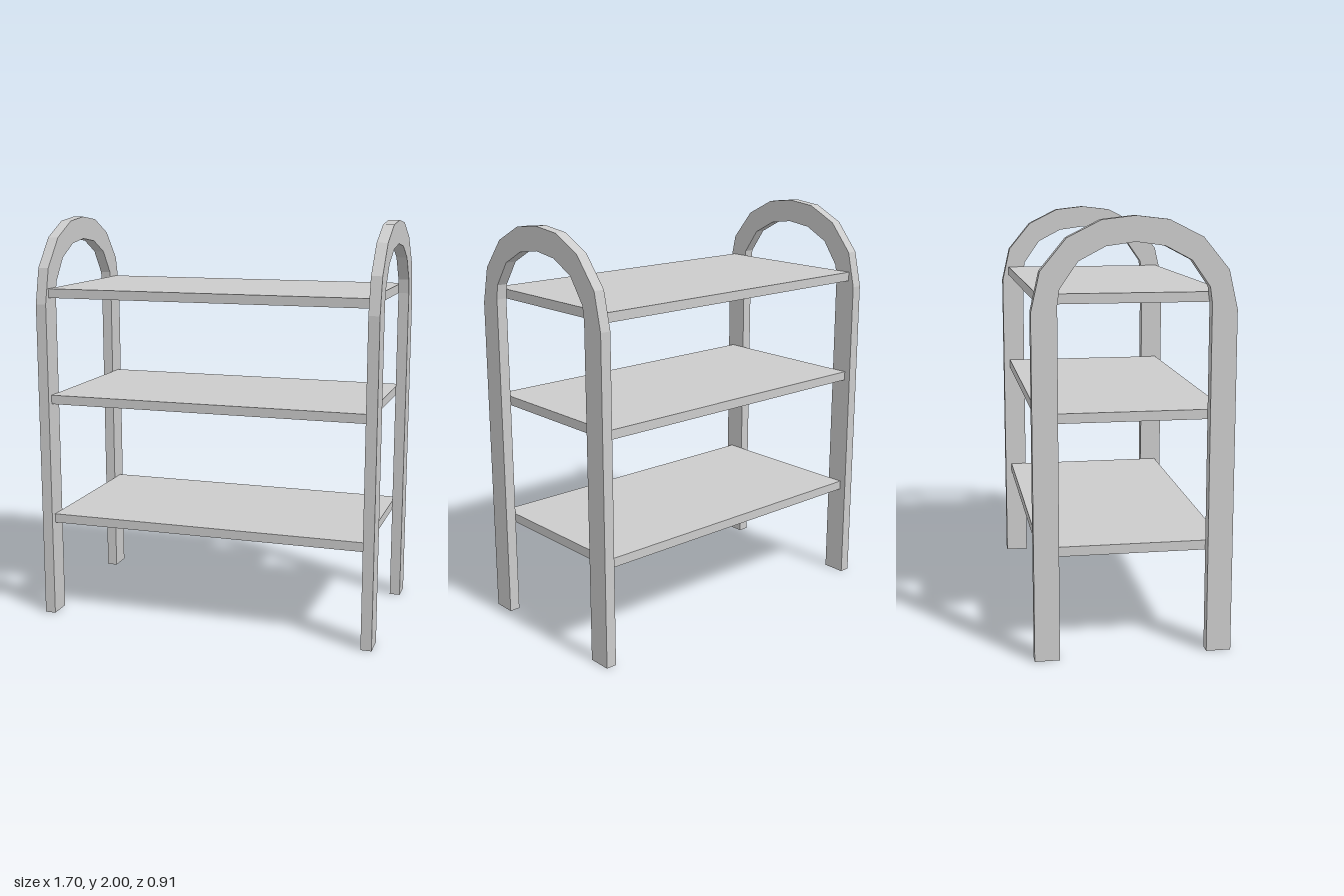
import * as THREE from 'three';

const material = new THREE.MeshStandardMaterial({ color: 0xcccccc, flatShading: true, side: THREE.DoubleSide });

// Outer and inner outline of half an arch, as [z, y] from foot to crown
const outer = [[0.457, 0], [0.457, 1.59], [0.417, 1.765], [0.3, 1.907], [0.148, 1.983], [0, 2]];
const inner = [[0.342, 0], [0.342, 1.62], [0.332, 1.69], [0.25, 1.807], [0.13, 1.87], [0, 1.888]];

// Mirror a half outline to a full one, front foot to back foot
const mirrored = (half) => [...half, ...half.slice(0, -1).reverse().map(([z, y]) => [-z, y])];

// Hollow rectangular section swept along the arch, open at both feet
function archGeometry(x0, x1) {
  const out = mirrored(outer), inn = mirrored(inner);
  const rings = out.map(([z, y], i) => [
    [x0, y, z], [x1, y, z],
    [x1, inn[i][1], inn[i][0]], [x0, inn[i][1], inn[i][0]],
  ]);
  const positions = [];
  for (let i = 0; i < rings.length - 1; i++) {
    for (let j = 0; j < 4; j++) {
      const k = (j + 1) % 4;
      const a = rings[i][j], b = rings[i][k], c = rings[i + 1][k], d = rings[i + 1][j];
      positions.push(...a, ...b, ...c, ...a, ...c, ...d);
    }
  }
  const geometry = new THREE.BufferGeometry();
  geometry.setAttribute('position', new THREE.Float32BufferAttribute(positions, 3));
  geometry.computeVertexNormals();
  return geometry;
}

export function createModel() {
  const group = new THREE.Group();

  // Arched side frames
  for (const [name, x0, x1] of [['leftFrame', 0.797, 0.85], ['rightFrame', -0.85, -0.797]]) {
    const frame = new THREE.Mesh(archGeometry(x0, x1), material);
    frame.name = name;
    group.add(frame);
  }

  // Shelves between the frames
  const shelfGeometry = new THREE.BoxGeometry(1.594, 0.045, 0.848);
  [['lowerShelf', 0.498], ['middleShelf', 1.112], ['upperShelf', 1.642]].forEach(([name, y]) => {
    const shelf = new THREE.Mesh(shelfGeometry, material);
    shelf.name = name;
    shelf.position.y = y;
    group.add(shelf);
  });

  return group;
}
